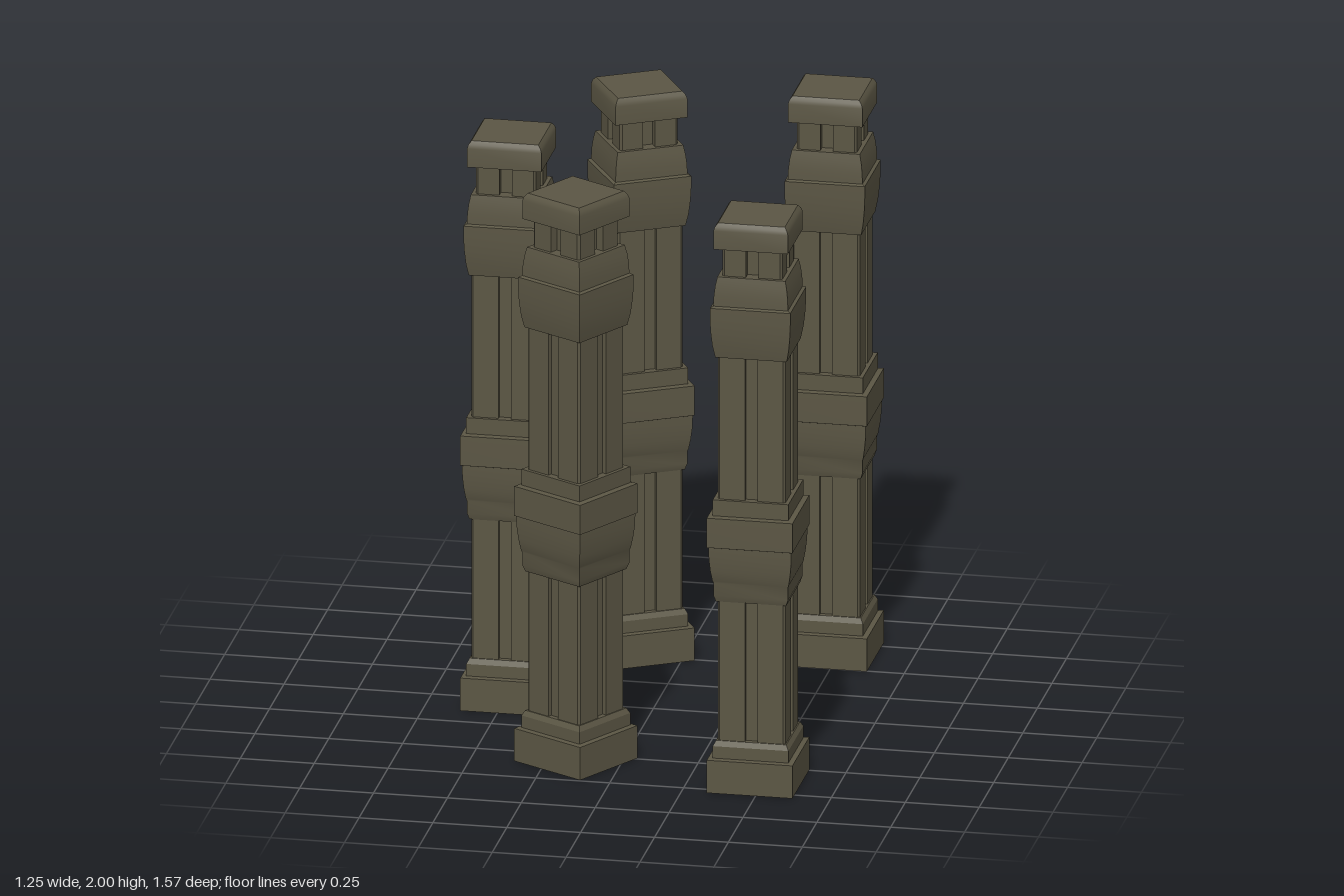
import * as THREE from 'three';
import { toCreasedNormals } from 'three/addons/utils/BufferGeometryUtils.js';

// Square moulding turned from [half width, height] points, listed bottom to top
function moulding(points) {
  const profile = points.map(([half, y]) => new THREE.Vector2(half * Math.SQRT2, y));
  return toCreasedNormals(new THREE.LatheGeometry(profile, 4, Math.PI / 4), 0.45);
}

// Square shaft with chamfered corners and a groove down the middle of each face
function groovedShaft(half, grooveHalf, depth, y0, y1) {
  const c = 0.008;
  const side = [
    [half, -half + c], [half, -grooveHalf], [half - depth, -grooveHalf],
    [half - depth, grooveHalf], [half, grooveHalf], [half, half - c],
  ];
  const outline = [];
  for (let i = 0; i < 4; i++) {
    const turn = (i * Math.PI) / 2;
    for (const [x, y] of side) {
      outline.push(new THREE.Vector2(x, y).rotateAround(new THREE.Vector2(), turn));
    }
  }
  const geometry = new THREE.ExtrudeGeometry(new THREE.Shape(outline), { depth: y1 - y0, bevelEnabled: false });
  return geometry.rotateX(-Math.PI / 2).translate(0, y0, 0);
}

export function createModel() {
  const stone = new THREE.MeshStandardMaterial({ color: 0x5b5644 });
  stone.name = 'darkStone';

  const parts = {
    // Stepped foot with a recess underneath
    base: moulding([
      [0, 0.06], [0.05, 0.06], [0.06, 0], [0.145, 0], [0.145, 0.115],
      [0.128, 0.118], [0.128, 0.16], [0.119, 0.178], [0, 0.178],
    ]),
    lowerShaft: groovedShaft(0.115, 0.021, 0.015, 0.17, 0.68),
    // Swelling band at mid height
    middleBand: moulding([
      [0, 0.668], [0.119, 0.668], [0.126, 0.69], [0.126, 0.735], [0.129, 0.742],
      [0.135, 0.78], [0.139, 0.82], [0.14, 0.862], [0.145, 0.864], [0.145, 0.968],
      [0.128, 0.972], [0.128, 1.028], [0, 1.028],
    ]),
    upperShaft: groovedShaft(0.115, 0.021, 0.015, 1.02, 1.54),
    // Curved capital with a tapered collar
    capital: moulding([
      [0, 1.528], [0.121, 1.528], [0.129, 1.57], [0.134, 1.62], [0.136, 1.665],
      [0.136, 1.705], [0.126, 1.71], [0.125, 1.745], [0.121, 1.78], [0.115, 1.81], [0, 1.81],
    ]),
    neck: groovedShaft(0.102, 0.021, 0.03, 1.8, 1.92),
    // Top slab with a chamfered rim
    capSlab: moulding([
      [0, 1.91], [0.126, 1.91], [0.126, 1.975], [0.122, 1.988], [0.113, 2], [0, 2],
    ]),
  };

  // Five pillars: x, z and turn in degrees
  const layout = [
    [-0.48, 0, 0],
    [-0.155, -0.545, 30], [-0.155, 0.545, -30],
    [0.48, -0.64, 0], [0.48, 0.64, 0],
  ];

  const model = new THREE.Group();
  model.name = 'pillarRing';
  layout.forEach(([x, z, degrees], i) => {
    const pillar = new THREE.Group();
    pillar.name = `pillar${i + 1}`;
    for (const [name, geometry] of Object.entries(parts)) {
      const mesh = new THREE.Mesh(geometry, stone);
      mesh.name = name;
      pillar.add(mesh);
    }
    pillar.position.set(x, 0, z);
    pillar.rotation.y = THREE.MathUtils.degToRad(degrees);
    model.add(pillar);
  });
  return model;
}
